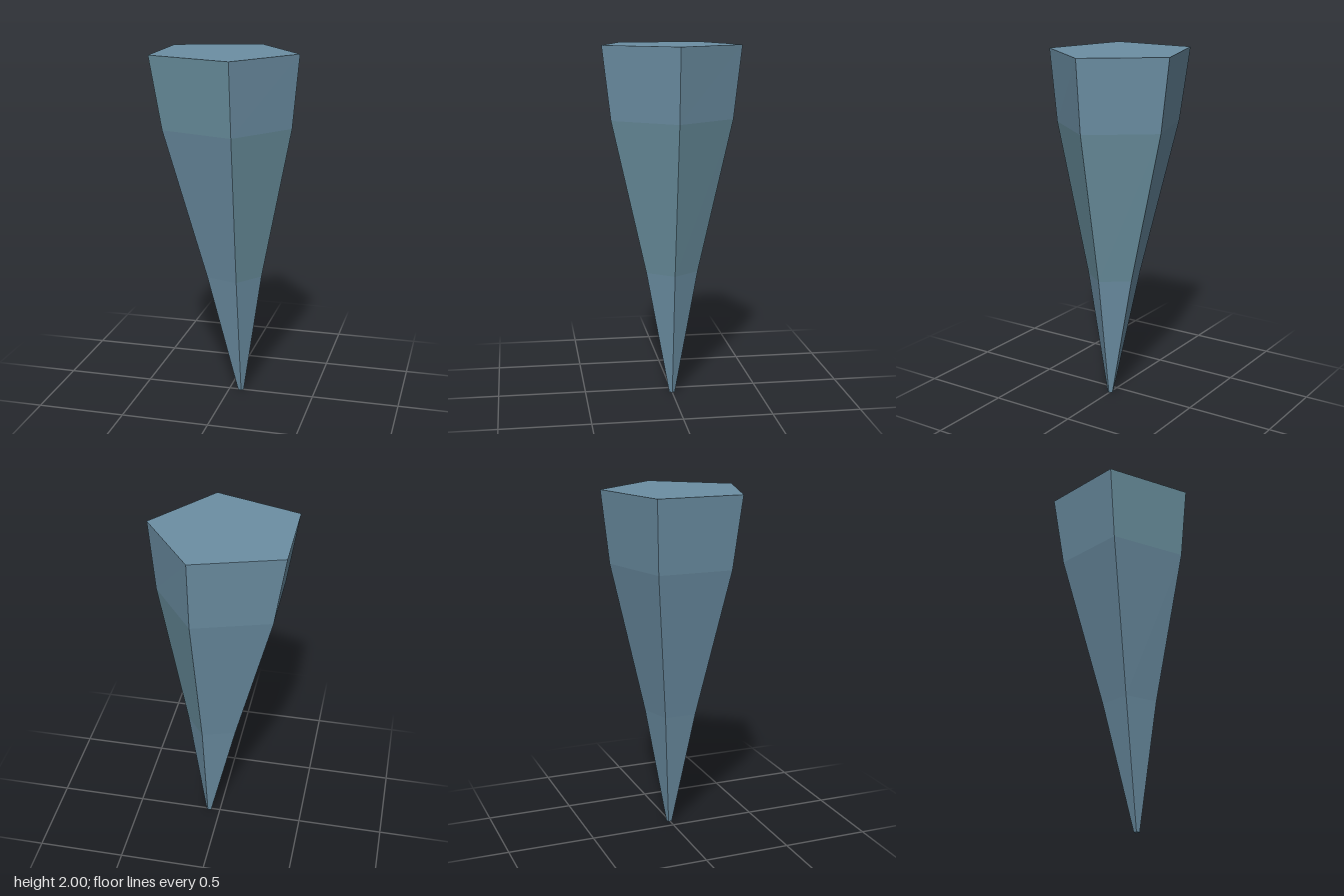
import * as THREE from 'three';

// Rings from tip to top: height, centre x, radius along x, radius along z
const RINGS = [
  [0, 0.068, 0.017, 0.017],
  [0.72, 0.024, 0.164, 0.155],
  [1.59, -0.023, 0.376, 0.36],
  [2, -0.041, 0.431, 0.41],
];
const SIDES = 5;

function ringPoints([y, cx, rx, rz]) {
  return Array.from({ length: SIDES }, (_, i) => {
    const a = (i / SIDES) * Math.PI * 2;
    return [cx + Math.cos(a) * rx, y, Math.sin(a) * rz];
  });
}

// Non-indexed flat polygon, fanned from its first corner
function polygonMesh(name, polygons, material) {
  const positions = [];
  for (const p of polygons) {
    for (let i = 1; i < p.length - 1; i++) positions.push(...p[0], ...p[i], ...p[i + 1]);
  }
  const geometry = new THREE.BufferGeometry();
  geometry.setAttribute('position', new THREE.Float32BufferAttribute(positions, 3));
  geometry.computeVertexNormals();
  const mesh = new THREE.Mesh(geometry, material);
  mesh.name = name;
  return mesh;
}

export function createModel() {
  const slate = new THREE.MeshStandardMaterial({ color: 0x6c8fa4 });
  slate.name = 'slate blue';
  const teal = new THREE.MeshStandardMaterial({ color: 0x6a909f });
  teal.name = 'slate teal';

  const rings = RINGS.map(ringPoints);
  const slateFaces = [];
  const tealFaces = [];

  // Side facets, with a slightly greener stone on a few of them
  for (let r = 0; r < rings.length - 1; r++) {
    for (let i = 0; i < SIDES; i++) {
      const j = (i + 1) % SIDES;
      const low = rings[r], high = rings[r + 1];
      const isTeal = (r === 1 && (i === 0 || i === 4)) || (r === 2 && i === 1);
      (isTeal ? tealFaces : slateFaces).push([low[j], low[i], high[i], high[j]]);
    }
  }

  const spike = new THREE.Group();
  spike.name = 'stoneSpike';
  spike.add(
    polygonMesh('slateFacets', slateFaces, slate),
    polygonMesh('tealFacets', tealFaces, teal),
    polygonMesh('topCap', [[...rings[3]].reverse()], slate),
    polygonMesh('tipCap', [rings[0]], slate),
  );
  return spike;
}
